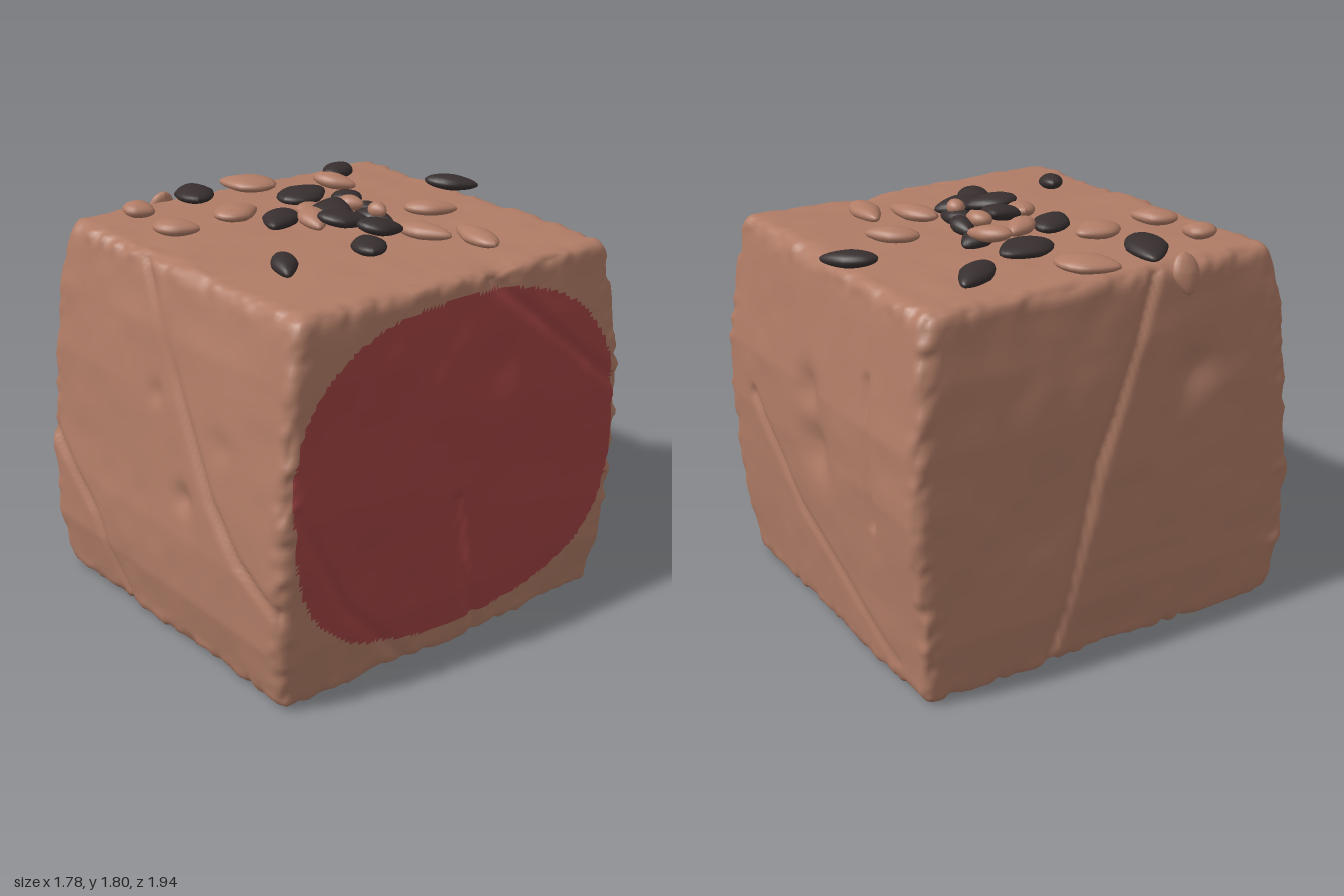
import * as THREE from 'three';
import { mergeVertices } from 'three/addons/utils/BufferGeometryUtils.js';

const clamp = THREE.MathUtils.clamp;
const smooth = THREE.MathUtils.smoothstep;

// Repeatable value noise, -1..1
function hash(i, j, k) {
  const s = Math.sin(i * 127.1 + j * 311.7 + k * 74.7) * 43758.5453;
  return (s - Math.floor(s)) * 2 - 1;
}
function noise(p, f) {
  const c = [p.x * f, p.y * f, p.z * f];
  const b = c.map(Math.floor);
  const w = c.map((v, i) => { const t = v - b[i]; return t * t * (3 - 2 * t); });
  let sum = 0;
  for (let i = 0; i < 2; i++) for (let j = 0; j < 2; j++) for (let k = 0; k < 2; k++) {
    sum += hash(b[0] + i, b[1] + j, b[2] + k)
      * (i ? w[0] : 1 - w[0]) * (j ? w[1] : 1 - w[1]) * (k ? w[2] : 1 - w[2]);
  }
  return sum;
}

// Value of an evenly spaced table at t = 0..1
function sample(table, t) {
  const s = clamp(t, 0, 1) * (table.length - 1);
  const i = Math.min(Math.floor(s), table.length - 2);
  return THREE.MathUtils.lerp(table[i], table[i + 1], s - i);
}

// Outline of the block from bottom to top
const HALF_X = [0.83, 0.865, 0.875, 0.88, 0.875, 0.86, 0.83];
const FRONT_Z = [0.9, 0.95, 0.955, 0.935, 0.91, 0.87, 0.81];
const BACK_Z = [0.88, 0.9, 0.925, 0.945, 0.94, 0.9, 0.86];
const HEIGHT = 1.665;

// Cracks: points along the surface
const CRACKS = [
  [[-0.2, 1.65, 0.82], [0, 1.4, 0.9], [0.4, 0.8, 0.93], [0.6, 0.6, 0.94], [0.85, 0.48, 0.92]],
  [[-0.86, 0.7, 0.96], [-0.5, 0.4, 0.96], [-0.28, 0.02, 0.9]],
  [[0.84, 1.62, -0.18], [0.87, 1.35, -0.5], [0.87, 1.0, -0.9]],
  [[0.88, 0.72, 0.03], [0.87, 0.4, -0.02], [0.84, 0.02, -0.15]],
  [[0.88, 0.9, 0.85], [0.87, 0.4, 0.6], [0.83, 0.02, 0.25]],
  [[-0.83, 1.65, 0.2], [-0.88, 0.9, -0.1], [-0.84, 0.02, -0.3]],
  [[-0.84, 0, -0.3], [0, 0, 0.25], [0.84, 0, 0.8]],
  [[-0.45, 1.3, -0.93], [-0.5, 0.7, -0.95]],
  [[0.6, 0.9, -0.93], [0.2, 0.5, -0.93], [-0.6, 0.1, -0.92]],
].map((line) => line.map((p) => new THREE.Vector3(...p)));
const SEGMENTS = CRACKS.flatMap((l) => l.slice(1).map((p, i) => new THREE.Line3(l[i], p)));

// Dents: x, y, z, radius, depth
const DENTS = [
  [-0.03, 1.12, 0.92, 0.05, 0.02], [0.2, 0.73, 0.94, 0.06, 0.03], [0.45, 1.05, 0.92, 0.07, 0.015],
  [0.88, 1.25, -0.2, 0.12, 0.025], [0.88, 0.8, -0.35, 0.2, 0.02], [0.88, 0.6, 0.5, 0.12, 0.015],
  [0, 0.85, -0.95, 0.12, 0.05], [0.05, 1.1, -0.94, 0.09, 0.04], [-0.88, 1.2, 0.4, 0.1, 0.03],
  [0.8, HEIGHT, -0.25, 0.1, 0.02],
].map(([x, y, z, r, d]) => ({ at: new THREE.Vector3(x, y, z), r, d }));

// Soft rounded block, with one side marked out for the red patch
function blockGeometry() {
  const N = 84, R = 0.065;
  let geo = new THREE.BoxGeometry(2, 2, 2, N, N, N);
  geo.deleteAttribute('uv');
  geo.deleteAttribute('normal');
  geo.clearGroups();
  geo = mergeVertices(geo, 1e-4);
  const pos = geo.attributes.position;
  const p = new THREE.Vector3(), n = new THREE.Vector3(), near = new THREE.Vector3();
  const lim = 1 - R;
  for (let i = 0; i < pos.count; i++) {
    p.fromBufferAttribute(pos, i);
    const mid = [p.x, p.y, p.z].map(Math.abs).sort((a, b) => a - b)[1];
    const edge = smooth(mid, 0.88, 1);
    // round the edges
    near.set(clamp(p.x, -lim, lim), clamp(p.y, -lim, lim), clamp(p.z, -lim, lim));
    n.copy(p).sub(near).normalize();
    p.copy(near).addScaledVector(n, R);
    // bulging, slightly lopsided sides
    const t = (p.y + 1) / 2;
    const skew = 1 - 0.018 * p.x;
    p.set(p.x * sample(HALF_X, t), t * HEIGHT,
      p.z * (p.z > 0 ? sample(FRONT_Z, t) : sample(BACK_Z, t)) * skew);
    // uneven surface, ragged edges, cracks and dents
    let push = 0.012 * noise(p, 2.6) + 0.004 * noise(p, 8) + edge * 0.014 * noise(p, 22);
    let d = Infinity;
    for (const s of SEGMENTS) {
      s.closestPointToPoint(p, true, near);
      d = Math.min(d, near.distanceTo(p));
    }
    push -= 0.025 * Math.exp(-((d / 0.022) ** 2));
    for (const k of DENTS) push -= k.d * Math.exp(-((k.at.distanceTo(p) / k.r) ** 2));
    p.addScaledVector(n, push);
    p.y = Math.max(p.y, 0);
    pos.setXYZ(i, p.x, p.y, p.z);
  }
  geo.computeVertexNormals();

  // sort the faces into plain and red
  const plain = [], red = [], idx = geo.index.array;
  for (let i = 0; i < idx.length; i += 3) {
    const tri = [idx[i], idx[i + 1], idx[i + 2]];
    const avg = (get) => tri.reduce((s, v) => s + pos[get](v), 0) / 3;
    const x = avg('getX'), u = Math.abs(avg('getZ') + 0.01) / 0.87, v = Math.abs(avg('getY') - 0.85) / 0.73;
    const inside = x > 0.75 && u ** 2.6 + v ** 2.6 < 1;
    (inside ? red : plain).push(...tri);
  }
  geo.setIndex([...plain, ...red]);
  geo.addGroup(0, plain.length, 0);
  geo.addGroup(plain.length, red.length, 1);
  return geo;
}

// Flat teardrop seed, 1 long and 1 wide, pointing along +x
function seedGeometry() {
  const geo = new THREE.SphereGeometry(0.5, 20, 12);
  const pos = geo.attributes.position;
  for (let i = 0; i < pos.count; i++) {
    const x = pos.getX(i);
    const narrow = x > 0 ? 1 - 0.9 * x : 1;
    pos.setZ(i, pos.getZ(i) * narrow);
    pos.setY(i, pos.getY(i) * (1 - 0.3 * Math.max(x, 0)));
  }
  geo.computeVertexNormals();
  return geo;
}

// Seeds: x, y, z, length, width, heading in degrees (0 = +x, 90 = back), tilt
const DARK_SEEDS = [
  [-0.15, 1.7, -0.82, 0.25, 0.13, 42, 4], [-0.62, 1.71, -0.52, 0.25, 0.14, 125, 5],
  [-0.41, 1.7, -0.15, 0.28, 0.21, 105, 0], [-0.22, 1.71, -0.26, 0.18, 0.14, 110, 8],
  [-0.7, 1.71, 0.25, 0.31, 0.18, 155, 3], [-0.16, 1.7, 0.16, 0.26, 0.16, -50, 0],
  [0.36, 1.7, 0.09, 0.27, 0.15, 150, 4], [0.38, 1.71, 0.53, 0.21, 0.11, -28, 6],
  [-0.03, 1.71, -0.21, 0.17, 0.1, 170, 8], [0.24, 1.72, -0.07, 0.21, 0.17, 70, 10],
  [-0.03, 1.74, -0.02, 0.22, 0.18, 130, -10], [0.12, 1.745, 0.03, 0.23, 0.17, 60, 8],
  [0.1, 1.71, -0.16, 0.2, 0.11, 10, 5],
];
const BROWN_SEEDS = [
  [0.08, 1.69, -0.49, 0.24, 0.13, 45, 0], [0.49, 1.68, -0.39, 0.3, 0.13, 170, 0],
  [0.33, 1.69, -0.24, 0.27, 0.13, 18, 0], [-0.72, 1.7, -0.06, 0.28, 0.2, 215, 0],
  [-0.17, 1.71, -0.01, 0.17, 0.12, 120, 8], [-0.06, 1.74, -0.15, 0.13, 0.09, 20, 0],
  [-0.36, 1.7, 0.25, 0.22, 0.18, 95, 0], [-0.33, 1.7, 0.58, 0.21, 0.14, 40, 0],
  [-0.63, 1.71, 0.58, 0.15, 0.14, 30, 4], [-0.845, 1.62, 0.34, 0.18, 0.13, 180, 70],
  [-0.33, 1.76, -0.27, 0.21, 0.11, 28, 6], [0, 1.73, 0.1, 0.21, 0.13, -20, 8],
  [0.12, 1.75, -0.155, 0.1, 0.08, 0, 0],
];

export function createModel() {
  const brown = new THREE.MeshStandardMaterial({ color: 0xb07c66 });
  brown.name = 'clayBrown';
  const red = new THREE.MeshStandardMaterial({ color: 0xa24343 });
  red.name = 'clayRed';
  const dark = new THREE.MeshStandardMaterial({ color: 0x382f2f });
  dark.name = 'seedDark';

  const model = new THREE.Group();
  model.name = 'seededBlock';
  const block = new THREE.Mesh(blockGeometry(), [brown, red]);
  block.name = 'block';
  model.add(block);

  // seeds scattered and heaped on top
  const seedShape = seedGeometry();
  const addSeeds = (list, material, name) => {
    const group = new THREE.Group();
    group.name = name;
    for (const [x, y, z, length, width, heading, tilt] of list) {
      const seed = new THREE.Mesh(seedShape, material);
      seed.name = 'seed';
      seed.position.set(x, y, z);
      seed.scale.set(length, 0.07, width);
      seed.rotation.set(0, THREE.MathUtils.degToRad(heading), THREE.MathUtils.degToRad(-tilt), 'YXZ');
      group.add(seed);
    }
    model.add(group);
  };
  addSeeds(DARK_SEEDS, dark, 'darkSeeds');
  addSeeds(BROWN_SEEDS, brown, 'brownSeeds');
  return model;
}
